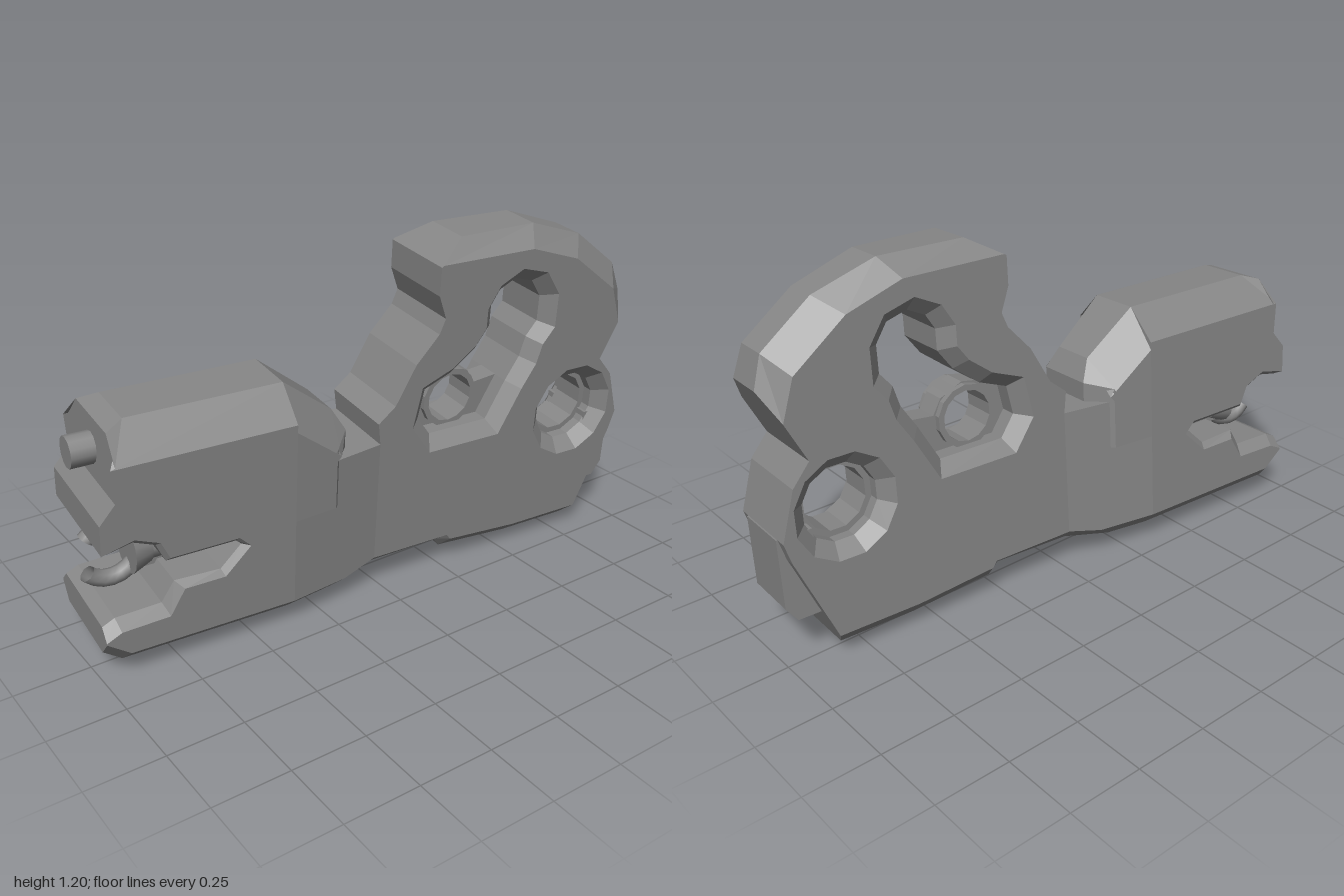
import * as THREE from 'three';

const material = new THREE.MeshStandardMaterial({ color: 0x868686, flatShading: true, side: THREE.DoubleSide });
const smoothMaterial = new THREE.MeshStandardMaterial({ color: 0x868686, side: THREE.DoubleSide });

// Inset every corner so each edge moves inward by its own chamfer width.
function chamferLoop(pts) {
  const n = pts.length;
  const edge = i => {
    const a = pts[i], b = pts[(i + 1) % n];
    const dx = b[0] - a[0], dy = b[1] - a[1], l = Math.hypot(dx, dy);
    return { nx: -dy / l, ny: dx / l, c: Math.max(a[2] || 0, 0) };
  };
  return pts.map((p, i) => {
    const e = edge((i + n - 1) % n), f = edge(i), c = Math.max(e.c, f.c);
    const det = e.nx * f.ny - e.ny * f.nx;
    let ox = f.nx * c, oy = f.ny * c;
    if (Math.abs(det) > 0.08) {
      ox = (e.c * f.ny - f.c * e.ny) / det;
      oy = (f.c * e.nx - e.c * f.nx) / det;
    }
    const k = Math.min(1, 2.2 * c / (Math.hypot(ox, oy) || 1));
    return { x: p[0], y: p[1], c, ix: p[0] + ox * k, iy: p[1] + oy * k, cut: p[2] < 0 };
  });
}

// Chamfered slab: points are [x, y, chamfer of the next edge]; -1 marks an open joint.
function slab(name, outline, half, holes = []) {
  const t = typeof half === 'function' ? half : () => half;
  const loops = [outline, ...holes.map(h => [...h].reverse())].map(chamferLoop);
  const pos = [];
  const quad = (a, b, c, d) => pos.push(...a, ...b, ...c, ...a, ...c, ...d);
  for (const loop of loops) {
    loop.forEach((a, i) => {
      if (a.cut) return;
      const b = loop[(i + 1) % loop.length];
      const out = (v, s) => [v.x, v.y, s * (t(v.x) - v.c)];
      const inn = (v, s) => [v.ix, v.iy, s * t(v.ix)];
      quad(out(a, -1), out(b, -1), out(b, 1), out(a, 1));
      if (a.c + b.c > 0) {
        quad(out(a, 1), out(b, 1), inn(b, 1), inn(a, 1));
        quad(inn(a, -1), inn(b, -1), out(b, -1), out(a, -1));
      }
    });
  }
  const flat = loops.map(l => l.map(v => new THREE.Vector2(v.ix, v.iy)));
  const all = flat.flat();
  for (const f of THREE.ShapeUtils.triangulateShape(flat[0], flat.slice(1))) {
    for (const i of f) pos.push(all[i].x, all[i].y, t(all[i].x));
    for (const i of [...f].reverse()) pos.push(all[i].x, all[i].y, -t(all[i].x));
  }
  const g = new THREE.BufferGeometry();
  g.setAttribute('position', new THREE.Float32BufferAttribute(pos, 3));
  g.computeVertexNormals();
  return named(name, g);
}

function named(name, geometry, mat = material) {
  const m = new THREE.Mesh(geometry, mat);
  m.name = name;
  return m;
}

function circle(x, y, r, n, c = 0) {
  return Array.from({ length: n }, (_, i) => {
    const a = (i + 0.5) / n * Math.PI * 2;
    return [x + r * Math.cos(a), y + r * Math.sin(a), c];
  });
}

function rod(name, x0, x1, y, r0, r1, sides) {
  const m = named(name, new THREE.CylinderGeometry(r1, r0, x1 - x0, sides), smoothMaterial);
  m.rotation.z = -Math.PI / 2;
  m.position.set((x0 + x1) / 2, y, 0);
  return m;
}

export function createModel() {
  const model = new THREE.Group();
  const body = new THREE.Group();
  body.name = 'body';
  model.add(body);

  // Thick left block with the open jaw
  const left = [
    [-0.92, 0.055, 0.045], [-0.35, 0.055, -1], [-0.35, 0.84, 0.1], [-0.86, 0.84, 0.07],
    [-0.92, 0.82, 0], [-0.93, 0.63, 0], [-0.98, 0.57, 0], [-0.98, 0.47, 0],
    [-0.95, 0.465, 0.015], [-0.88, 0.48, 0.015], [-0.81, 0.45, 0.015], [-0.78, 0.385, 0.015],
    [-0.55, 0.385, 0.015], [-0.53, 0.365, 0.02], [-0.6, 0.295, 0.02], [-0.75, 0.295, 0.03],
    [-0.79, 0.225, 0.035], [-0.94, 0.22, 0.035], [-0.98, 0.2, 0], [-0.98, 0.1, 0.045]];
  body.add(slab('leftBlock', left, 0.19));

  // Tapering waist with the notch floor
  const waist = [
    [-0.35, 0.055, 0.045], [-0.2, 0.055, 0.03], [-0.02, 0.1, -1],
    [-0.02, 0.565, 0], [-0.35, 0.565, -1]];
  body.add(slab('waist', waist, x => 0.19 - 0.05 * (x + 0.35) / 0.33));

  // Chamfered end of the block, standing over the notch
  const blockEnd = [
    [-0.35, 0.4, 0], [-0.13, 0.4, 0.07], [-0.13, 0.63, 0.07], [-0.17, 0.7, 0.1], [-0.35, 0.84, -1]];
  body.add(slab('blockEnd', blockEnd, x => 0.19 - 0.08 * (x + 0.35)));

  // Right grip with the keyhole slot and the round hole
  const grip = [
    [-0.02, 0.1, 0.03], [0.25, 0.1, 0.04], [0.28, 0.06, 0.05], [0.57, 0.038, 0.05],
    [0.83, 0.038, 0], [0.97, 0.38, 0], [0.99, 0.45, 0], [0.94, 0.61, 0], [0.88, 0.68, 0],
    [0.985, 0.9, 0.07], [0.95, 1.0, 0.08], [0.78, 1.13, 0.07], [0.57, 1.2, 0.06],
    [0.28, 1.2, 0], [0.17, 1.135, 0], [0.17, 1.04, 0], [0.2, 0.96, 0],
    [0.18, 0.91, 0], [0.1, 0.82, 0], [0.03, 0.69, 0], [-0.03, 0.64, 0], [-0.02, 0.565, -1]];
  const slot = [
    [0.15, 0.6], [0.2, 0.53], [0.43, 0.53], [0.5, 0.66], [0.55, 0.74], [0.57, 0.81],
    [0.61, 0.86], [0.61, 0.95], [0.57, 1.01], [0.5, 1.03], [0.44, 1.0], [0.41, 0.95],
    [0.41, 0.88], [0.36, 0.81], [0.27, 0.74], [0.17, 0.7]].map(p => [...p, 0.045]);
  body.add(slab('grip', grip, 0.14, [slot, circle(0.78, 0.5, 0.125, 12, 0.045)]));

  // Inner lip of the round hole
  body.add(slab('holeLip', circle(0.78, 0.5, 0.13, 12), 0.06, [circle(0.78, 0.5, 0.105, 12)]));

  // Pierced plate and raised ring at the bottom of the slot
  const plate = [
    [0.14, 0.58, 0], [0.2, 0.52, 0], [0.43, 0.52, 0], [0.5, 0.66, 0], [0.41, 0.65, 0],
    [0.38, 0.7, 0], [0.3, 0.735, 0], [0.16, 0.71, 0]];
  body.add(slab('slotPlate', plate, 0.04, [circle(0.3, 0.625, 0.085, 14)]));
  body.add(slab('slotRing', circle(0.3, 0.625, 0.105, 14), 0.06, [circle(0.3, 0.625, 0.085, 14)]));

  // Tab on the right end and fin under the jaw
  body.add(slab('endTab', [
    [0.87, 0.17, 0], [0.96, 0.17, 0], [0.995, 0.22, 0], [0.995, 0.45, 0], [0.88, 0.45, 0]], 0.1));
  const fin = slab('bottomFin', [
    [-0.87, 0, 0], [-0.74, 0.02, 0], [-0.68, 0.08, 0], [-0.9, 0.08, 0]], 0.04);
  fin.position.z = 0.01;
  body.add(fin);

  // Pin on the left end
  body.add(rod('endPin', -1, -0.88, 0.72, 0.05, 0.05, 12));

  // Jaw fittings: web, rod, collar and open ring
  body.add(slab('jawWeb', [
    [-0.8, 0.28, 0], [-0.58, 0.28, 0], [-0.5, 0.36, 0], [-0.54, 0.4, 0], [-0.8, 0.4, 0]], 0.03));
  body.add(rod('jawRod', -0.82, -0.56, 0.345, 0.055, 0.05, 12));
  body.add(rod('jawCollar', -0.835, -0.77, 0.345, 0.085, 0.06, 14));
  const ring = named('jawRing', new THREE.TorusGeometry(0.095, 0.028, 8, 16, Math.PI * 2 - 1.4), smoothMaterial);
  ring.rotation.z = 0.7 - Math.PI;
  ring.position.set(-0.89, 0.35, 0);
  body.add(ring);

  // Slight lean and turn of the whole piece
  body.rotation.set(0.07, -0.07, 0);
  body.position.z = -0.007;
  return model;
}
